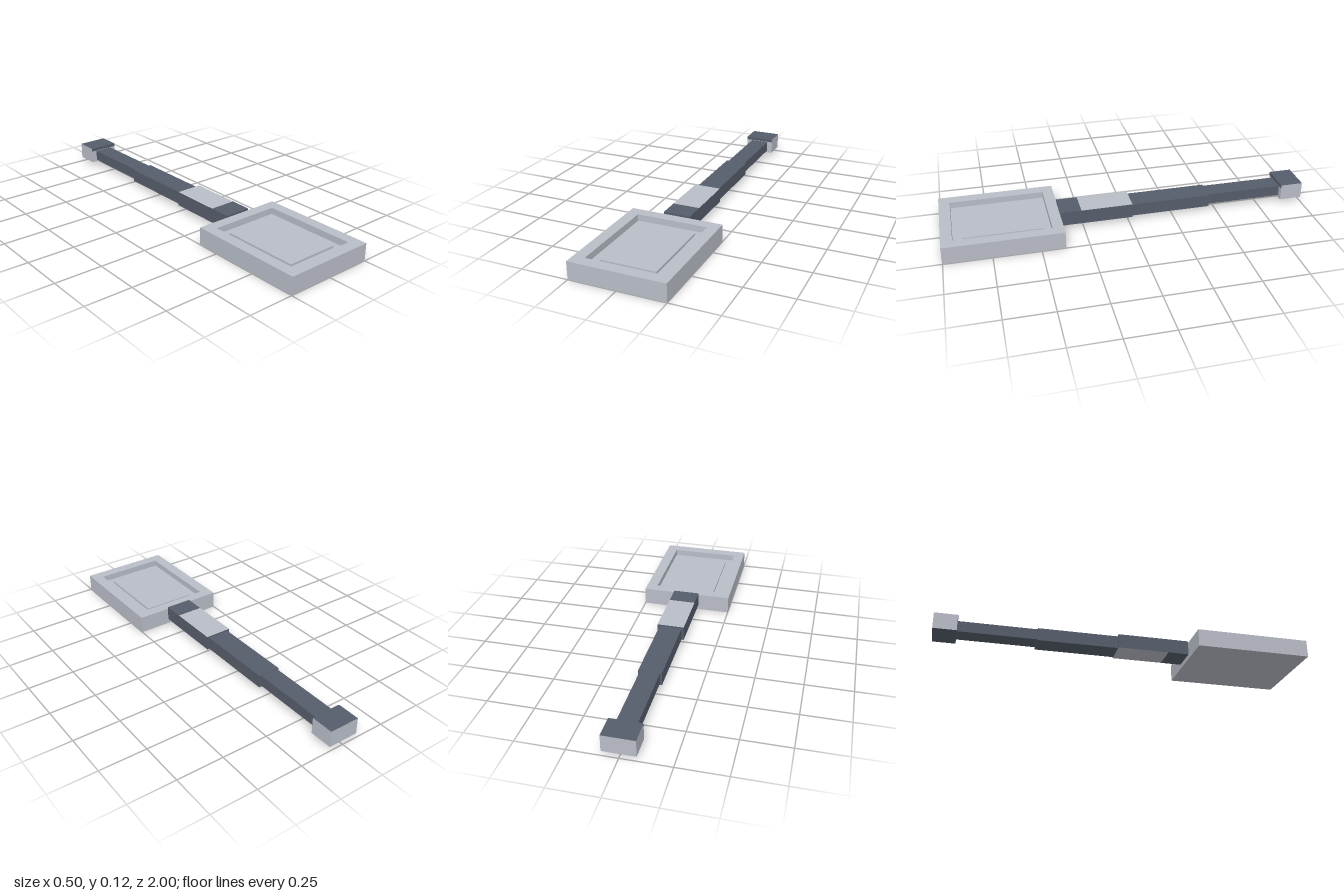
import * as THREE from 'three';

export function createModel() {
  const model = new THREE.Group();
  const light = new THREE.MeshStandardMaterial({ name: 'light grey', color: 0xb9bdc7 });
  const dark = new THREE.MeshStandardMaterial({ name: 'slate grey', color: 0x565d6b });

  // Box from its half width and its y and z ranges, centred on x = 0
  function block(name, halfWidth, y0, y1, z0, z1, material, parent = model) {
    const mesh = new THREE.Mesh(new THREE.BoxGeometry(2 * halfWidth, y1 - y0, z1 - z0), material);
    mesh.position.set(0, (y0 + y1) / 2, (z0 + z1) / 2);
    mesh.name = name;
    parent.add(mesh);
    return mesh;
  }

  // Face order: +x, -x, top, bottom, front, back
  const lightTopAndBottom = [dark, dark, light, light, dark, dark];
  const darkTopAndBottom = [light, light, dark, dark, light, light];

  // Head: solid base, raised rim around a recess, and an inset panel
  const head = new THREE.Group();
  head.name = 'head';
  model.add(head);
  block('headBase', 0.25, 0, 0.06, 0.375, 1, light, head);
  block('insetPanel', 0.145, 0.06, 0.072, 0.475, 0.89, light, head);

  const rect = (Type, w, z0, z1) => new Type([
    new THREE.Vector2(-w, -z1), new THREE.Vector2(w, -z1),
    new THREE.Vector2(w, -z0), new THREE.Vector2(-w, -z0),
  ]);
  const outline = rect(THREE.Shape, 0.25, 0.375, 1);
  outline.holes.push(rect(THREE.Path, 0.19, 0.433, 0.94));
  const rimGeometry = new THREE.ExtrudeGeometry(outline, { depth: 0.035, bevelEnabled: false });
  rimGeometry.rotateX(-Math.PI / 2);
  const rim = new THREE.Mesh(rimGeometry, light);
  rim.name = 'headRim';
  rim.position.y = 0.06;
  head.add(rim);

  // Handle: collar and three stepped lengths, narrowing to the back
  const handle = new THREE.Group();
  handle.name = 'handle';
  model.add(handle);
  block('collar', 0.073, 0.026, 0.105, 0.26, 0.375, dark, handle);
  block('grip', 0.073, 0.026, 0.105, -0.02, 0.26, lightTopAndBottom, handle);
  block('middleShaft', 0.061, 0.027, 0.097, -0.458, -0.02, dark, handle);
  block('rearShaft', 0.051, 0.036, 0.095, -0.877, -0.458, dark, handle);

  // End block with a dark band on its front face
  block('endBlock', 0.083, 0.026, 0.115, -1, -0.877, darkTopAndBottom, handle);
  block('endBand', 0.083, 0.098, 0.115, -0.877, -0.875, dark, handle);

  return model;
}
